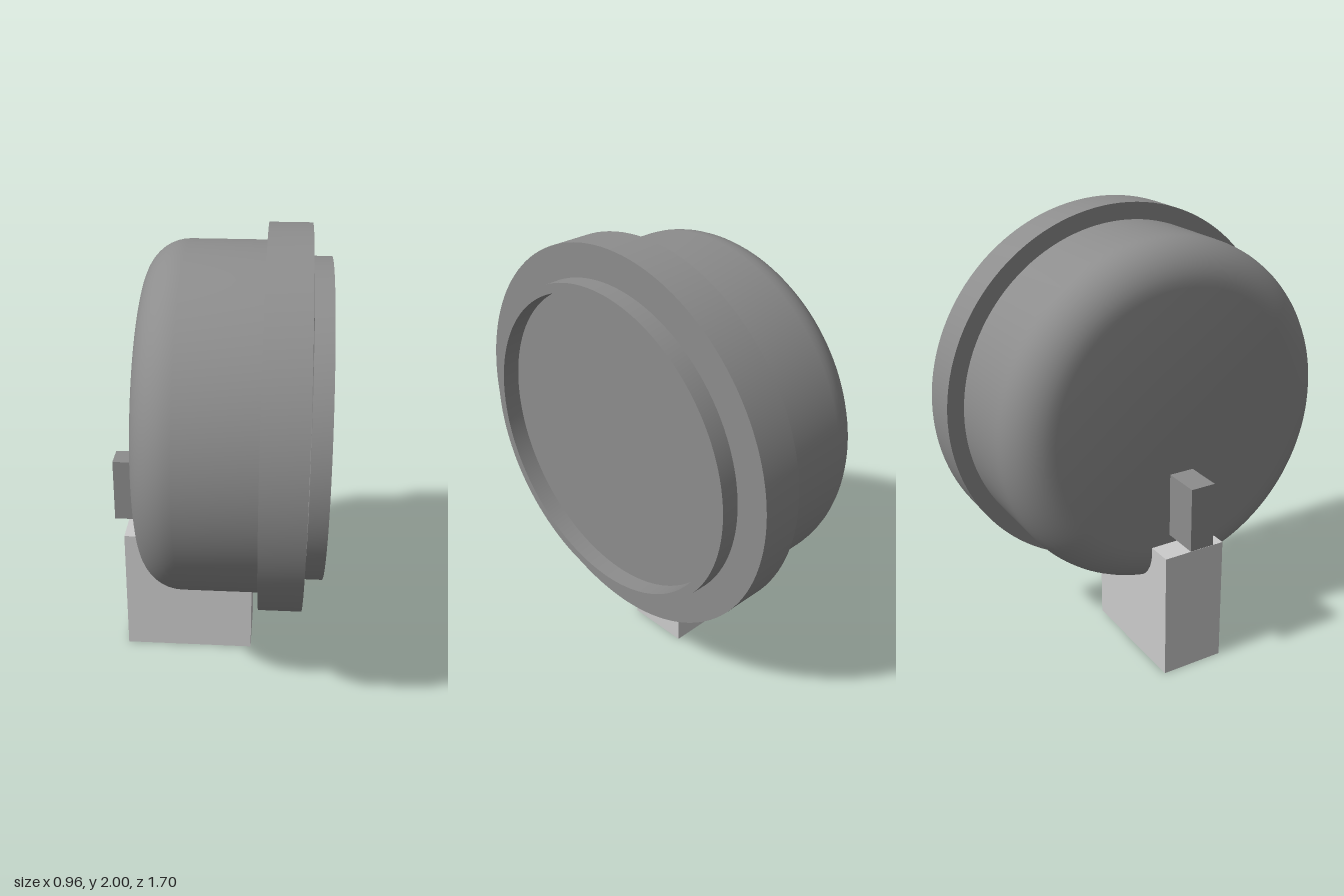
import * as THREE from 'three';
import { toCreasedNormals } from 'three/addons/utils/BufferGeometryUtils.js';

const AXIS_Y = 1.15;

export function createModel() {
  const model = new THREE.Group();
  model.name = 'gauge';
  const dark = new THREE.MeshStandardMaterial({ color: 0x8d8d8d });
  const light = new THREE.MeshStandardMaterial({ color: 0xcccccc });

  // Revolve a profile of [radius, x] points about the horizontal x axis
  const addTurned = (name, profile) => {
    const points = profile.map(([r, x]) => new THREE.Vector2(r, x));
    const geometry = toCreasedNormals(new THREE.LatheGeometry(points, 128), Math.PI / 6);
    const mesh = new THREE.Mesh(geometry, dark);
    mesh.name = name;
    mesh.rotation.z = -Math.PI / 2;
    mesh.position.y = AXIS_Y;
    model.add(mesh);
  };

  // Box given by its limits in x and y, and its width in z
  const addBox = (name, x0, x1, y0, y1, width, material) => {
    const mesh = new THREE.Mesh(new THREE.BoxGeometry(x1 - x0, y1 - y0, width), material);
    mesh.name = name;
    mesh.position.set((x0 + x1) / 2, (y0 + y1) / 2, 0);
    model.add(mesh);
  };

  // Housing: flat back, rounded rear edge, straight wall
  const radius = 0.775, back = -0.31, fillet = 0.18, steps = 10;
  const housing = [[0, back]];
  for (let i = 0; i <= steps; i++) {
    const a = (i / steps) * Math.PI / 2;
    housing.push([
      radius - fillet + fillet * Math.sin(a),
      back + fillet - fillet * Math.cos(a),
    ]);
  }
  housing.push([radius, 0.205]);
  addTurned('housing', housing);

  // Wide flange whose front face is the dial
  addTurned('flange', [[0, 0.205], [0.85, 0.205], [0.85, 0.39], [0, 0.39]]);

  // Thin ring standing just clear of the dial
  addTurned('bezel', [[0.67, 0.397], [0.71, 0.397], [0.71, 0.477], [0.67, 0.477], [0.67, 0.397]]);

  // Foot under the housing and small block on its back
  addBox('foot', -0.425, 0.165, 0, 0.595, 0.295, light);
  addBox('rearBlock', -0.48, -0.3, 0.635, 0.93, 0.115, dark);

  return model;
}
